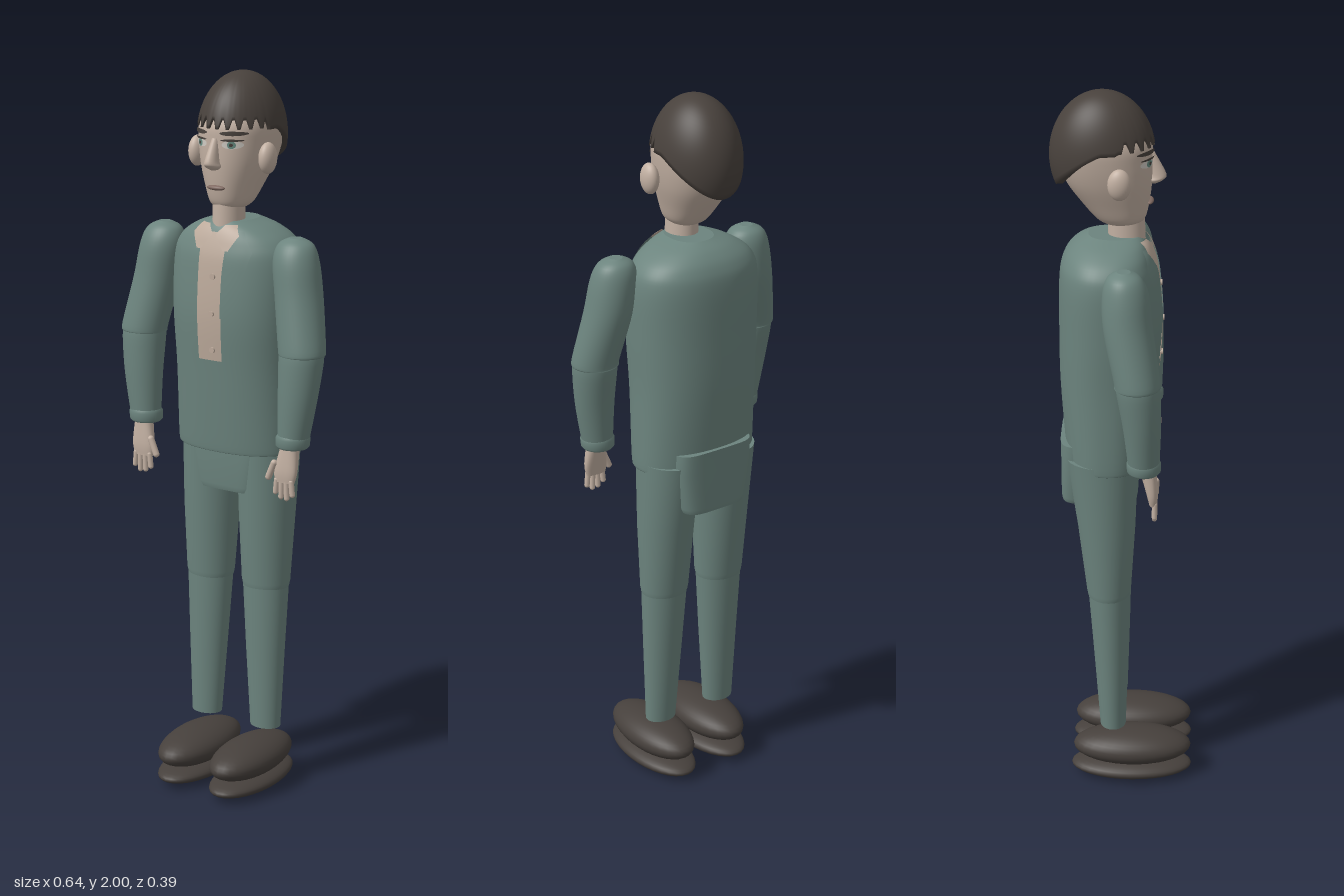
import * as THREE from 'three';

const mat = (name, color, double) => {
  const m = new THREE.MeshStandardMaterial({ color });
  m.name = name;
  if (double) m.side = THREE.DoubleSide;
  return m;
};

// Catmull-Rom resampling of cross-sections [y, cx, cz, rx, rz]
function resample(secs, steps) {
  const out = [], at = i => secs[Math.min(Math.max(i, 0), secs.length - 1)];
  for (let i = 0; i < secs.length - 1; i++) {
    for (let s = 0; s < steps; s++) {
      const t = s / steps;
      out.push(secs[i].map((p1, k) => {
        const p0 = at(i - 1)[k], p2 = at(i + 1)[k], p3 = at(i + 2)[k];
        return p1 + 0.5 * t * (p2 - p0 + t * (2 * p0 - 5 * p1 + 4 * p2 - p3 + t * (3 * (p1 - p2) + p3 - p0)));
      }));
    }
  }
  out.push(at(secs.length));
  return out;
}

const bend = (v, n) => Math.sign(v) * Math.abs(v) ** (2 / n);

function makeGeometry(pos, idx) {
  const g = new THREE.BufferGeometry();
  g.setAttribute('position', new THREE.Float32BufferAttribute(pos, 3));
  g.setIndex(idx);
  g.computeVertexNormals();
  return g;
}

// Closed body through superellipse sections, listed bottom to top
function loft(rows, n = 2, seg = 36) {
  const pos = [], idx = [];
  const ring = ([y, cx, cz, rx, rz]) => {
    for (let i = 0; i < seg; i++) {
      const a = i / seg * Math.PI * 2;
      pos.push(cx + rx * bend(Math.cos(a), n), y, cz + rz * bend(Math.sin(a), n));
    }
  };
  rows.forEach(ring);
  for (let r = 0; r < rows.length - 1; r++) {
    for (let i = 0; i < seg; i++) {
      const j = (i + 1) % seg, a = r * seg, b = a + seg;
      idx.push(a + i, b + i, a + j, b + i, b + j, a + j);
    }
  }
  [rows[0], rows[rows.length - 1]].forEach((row, top) => {
    const base = pos.length / 3, c = base + seg;
    ring(row);
    pos.push(row[1], row[0], row[2]);
    for (let i = 0; i < seg; i++) {
      const j = (i + 1) % seg;
      idx.push(c, base + (top ? j : i), base + (top ? i : j));
    }
  });
  return makeGeometry(pos, idx);
}

// Front surface height z(x, y) of a lofted body
const frontOf = (rows, n) => (x, y) => {
  let i = 0;
  while (i < rows.length - 2 && rows[i + 1][0] < y) i++;
  const t = THREE.MathUtils.clamp((y - rows[i][0]) / (rows[i + 1][0] - rows[i][0]), 0, 1);
  const [, cx, cz, rx, rz] = rows[i].map((v, k) => v + (rows[i + 1][k] - v) * t);
  return cz + rz * Math.max(0, 1 - Math.abs((x - cx) / rx) ** n) ** (1 / n);
};

// Thin sheet hugging a surface; rows [y, xMin, xMax] from top to bottom
function patch(surface, rows, offset, cols = 6, sub = 6) {
  const pos = [], idx = [], fine = [];
  for (let r = 0; r < rows.length - 1; r++) {
    for (let s = 0; s < sub; s++) fine.push(rows[r].map((v, k) => v + (rows[r + 1][k] - v) * s / sub));
  }
  fine.push(rows[rows.length - 1]);
  fine.forEach(([y, x0, x1], r) => {
    for (let c = 0; c <= cols; c++) {
      const x = x0 + (x1 - x0) * c / cols;
      pos.push(x, y, surface(x, y) + offset);
      if (r && c) {
        const d = r * (cols + 1) + c, u = d - cols - 1;
        idx.push(u - 1, d - 1, d, u - 1, d, u);
      }
    }
  });
  return makeGeometry(pos, idx);
}
const oval = (x, y, rx, ry) => Array.from({ length: 11 }, (_, i) => {
  const a = i / 10 * Math.PI, w = rx * Math.sin(a) + 0.0002;
  return [y + ry * Math.cos(a), x - w, x + w];
});
const flip = (rows, s) => s > 0 ? rows : rows.map(([y, a, b]) => [y, -b, -a]);

// Hair cap: part of an ellipsoid with a shaped lower edge, turned in at the rim
function hairGeometry() {
  const pos = [], idx = [], seg = 96, rows = 22, cy = 1.83;
  for (let r = 0; r <= rows; r++) {
    for (let i = 0; i < seg; i++) {
      const a = i / seg * Math.PI * 2, f = Math.sin(a);
      const edge = f > 0.3 ? 1.872 + 0.012 * (i % 4 < 2 ? 1 : -1) : f > 0 ? 1.855 : 1.855 - 0.105 * (-f) ** 1.3;
      const phi = Math.acos((edge - cy) / 0.17) * Math.min(r / (rows - 1), 1);
      const w = Math.sin(phi) * (r === rows ? 0.86 : 1);
      pos.push(0.113 * w * Math.cos(a), cy + 0.17 * Math.cos(phi), -0.057 + 0.139 * w * f);
      if (r) {
        const j = (i + 1) % seg, d = r * seg, u = d - seg;
        idx.push(d + i, u + i, d + j, u + i, u + j, d + j);
      }
    }
  }
  return makeGeometry(pos, idx);
}

export function createModel() {
  const model = new THREE.Group();
  const suit = mat('suit', 0x6c847e, true), skin = mat('skin', 0xc2b0a2), shirt = mat('shirt', 0xbcaa9b, true);
  const hair = mat('hair', 0x48413c, true), shoe = mat('shoe', 0x46403c), lip = mat('lip', 0x806a62);
  const white = mat('eyeWhite', 0xcfcac2), iris = mat('iris', 0x668a80);
  const add = (name, geo, material, x = 0, y = 0, z = 0) => {
    const m = new THREE.Mesh(geo, material);
    m.name = name;
    m.position.set(x, y, z);
    model.add(m);
    return m;
  };
  const ball = (name, material, p, s) => add(name, new THREE.SphereGeometry(1, 32, 20), material, ...p).scale.set(...s);

  // Jacket body and the lower panel
  const torso = resample([
    [0.98, 0, -0.043, 0.174, 0.11], [1.0, 0, -0.043, 0.178, 0.115], [1.2, 0, -0.042, 0.178, 0.13],
    [1.36, 0, -0.038, 0.184, 0.136], [1.5, 0, -0.042, 0.184, 0.13], [1.555, 0, -0.042, 0.165, 0.117],
    [1.59, 0, -0.035, 0.118, 0.096], [1.612, 0, -0.025, 0.06, 0.07]], 6);
  const chest = frontOf(torso, 2.3);
  add('jacketBody', loft(torso, 2.3, 56), suit);
  add('jacketTail', loft([[0.86, 0, -0.067, 0.098, 0.102], [0.875, 0, -0.066, 0.106, 0.105],
    [0.98, 0, -0.063, 0.124, 0.108], [1.04, 0, -0.066, 0.124, 0.106]], 5, 48), suit);

  // Shirt front, buttons, collar and lapels
  add('shirtFront', patch(chest, [[1.585, -0.04, 0.04], [1.24, -0.037, 0.037]], 0.005, 6, 20), shirt);
  for (const y of [1.27, 1.37, 1.47]) {
    const b = add('button', new THREE.CylinderGeometry(0.008, 0.008, 0.006, 16), shirt, 0.01, y, chest(0.01, y) + 0.007);
    b.rotation.x = Math.PI / 2;
  }
  for (const s of [1, -1]) {
    add('collarWing', patch(chest, flip([[1.605, 0.025, 0.055], [1.58, 0.005, 0.072], [1.54, 0.035, 0.05]], s), 0.009), shirt);
    add('lapel', patch(chest, flip([[1.59, 0.055, 0.08], [1.54, 0.042, 0.115], [1.48, 0.038, 0.1], [1.36, 0.037, 0.045]], s), 0.008), suit);
  }
  add('pocketFlap', patch(chest, [[1.305, -0.14, -0.08], [1.265, -0.138, -0.082]], 0.005), suit);

  // Limbs
  for (const s of [1, -1]) {
    const side = rows => rows.map(([y, x, ...r]) => [y, s * x, ...r]);
    add('upperSleeve', loft(resample(side([[1.28, 0.257, 0.04, 0.063, 0.06], [1.3, 0.256, 0.039, 0.065, 0.061],
      [1.43, 0.231, 0.016, 0.065, 0.065], [1.52, 0.217, 0.009, 0.063, 0.061],
      [1.565, 0.213, 0.005, 0.049, 0.045], [1.583, 0.212, 0.004, 0.018, 0.018]]), 5)), suit);
    add('lowerSleeve', loft(resample(side([[1.04, 0.243, 0.058, 0.042, 0.041], [1.16, 0.253, 0.053, 0.054, 0.05],
      [1.26, 0.257, 0.044, 0.061, 0.058], [1.3, 0.256, 0.04, 0.06, 0.057]]), 5)), suit);
    add('cuff', loft(side([[1.028, 0.242, 0.058, 0.041, 0.04], [1.034, 0.242, 0.058, 0.046, 0.045],
      [1.055, 0.243, 0.058, 0.047, 0.046], [1.063, 0.243, 0.058, 0.042, 0.042]])), suit);

    // Hand with four fingers and a thumb
    add('palm', loft(resample(side([[0.935, 0.233, 0.083, 0.03, 0.011], [0.97, 0.236, 0.08, 0.034, 0.016],
      [1.04, 0.242, 0.068, 0.024, 0.022]]), 5), 2.5, 28), skin);
    for (let i = 0; i < 4; i++) {
      const len = [0.035, 0.046, 0.048, 0.036][i];
      const f = add('finger', new THREE.CapsuleGeometry(0.0075, len, 5, 10), skin, s * (0.209 + i * 0.0165), 0.94 - len / 2, 0.087);
      f.rotation.z = s * (i - 1.5) * 0.07;
    }
    add('thumb', new THREE.CapsuleGeometry(0.009, 0.045, 5, 10), skin, s * 0.195, 0.965, 0.09).rotation.z = -s * 0.4;

    add('upperTrouser', loft(side([[0.585, 0.093, -0.04, 0.067, 0.058], [0.6, 0.093, -0.04, 0.07, 0.061],
      [0.8, 0.092, -0.046, 0.079, 0.079], [1.0, 0.09, -0.057, 0.085, 0.097]])), suit);
    add('lowerTrouser', loft(side([[0.17, 0.1, -0.029, 0.045, 0.036], [0.4, 0.096, -0.034, 0.057, 0.048],
      [0.62, 0.093, -0.04, 0.068, 0.059]])), suit);
    ball('shoeSole', shoe, [s * 0.088, 0.03, 0.023], [0.084, 0.03, 0.171]);
    ball('shoeUpper', shoe, [s * 0.088, 0.092, 0.025], [0.083, 0.051, 0.167]);
  }

  // Neck and head
  add('neck', loft([[1.56, 0, 0.008, 0.043, 0.05], [1.7, 0, 0.004, 0.04, 0.048]]), skin);
  const head = resample([
    [1.645, 0, -0.006, 0.04, 0.048], [1.66, 0, -0.01, 0.055, 0.066], [1.7, 0, -0.022, 0.07, 0.088],
    [1.76, 0, -0.04, 0.09, 0.113], [1.82, 0, -0.051, 0.101, 0.125], [1.87, 0, -0.054, 0.102, 0.125],
    [1.92, 0, -0.058, 0.084, 0.1], [1.96, 0, -0.058, 0.05, 0.06]], 5);
  const face = frontOf(head, 2.2);
  add('head', loft(head, 2.2, 48), skin);
  add('hair', hairGeometry(), hair);
  add('nose', loft(resample([[1.752, 0, 0.072, 0.01, 0.014], [1.762, 0, 0.079, 0.021, 0.024],
    [1.778, 0, 0.083, 0.017, 0.026], [1.835, 0, 0.068, 0.009, 0.011]], 5), 2, 24), skin);
  ball('lips', lip, [0, 1.703, face(0, 1.703)], [0.028, 0.007, 0.011]);

  // Ears, eyes and brows
  for (const s of [1, -1]) {
    ball('ear', skin, [s * 0.113, 1.782, -0.01], [0.022, 0.042, 0.031]);
    add('eyeWhite', patch(face, oval(s * 0.049, 1.82, 0.025, 0.011), 0.003, 8, 1), white);
    add('iris', patch(face, oval(s * 0.049, 1.82, 0.01, 0.01), 0.005, 6, 1), iris);
    add('pupil', patch(face, oval(s * 0.049, 1.82, 0.0045, 0.0045), 0.007, 4, 1), hair);
    add('upperLid', patch(face, oval(s * 0.049, 1.832, 0.027, 0.003), 0.006, 8, 1), hair);
    add('brow', patch(face, oval(s * 0.052, 1.85, 0.032, 0.006), 0.006, 8, 1), hair);
  }
  return model;
}
